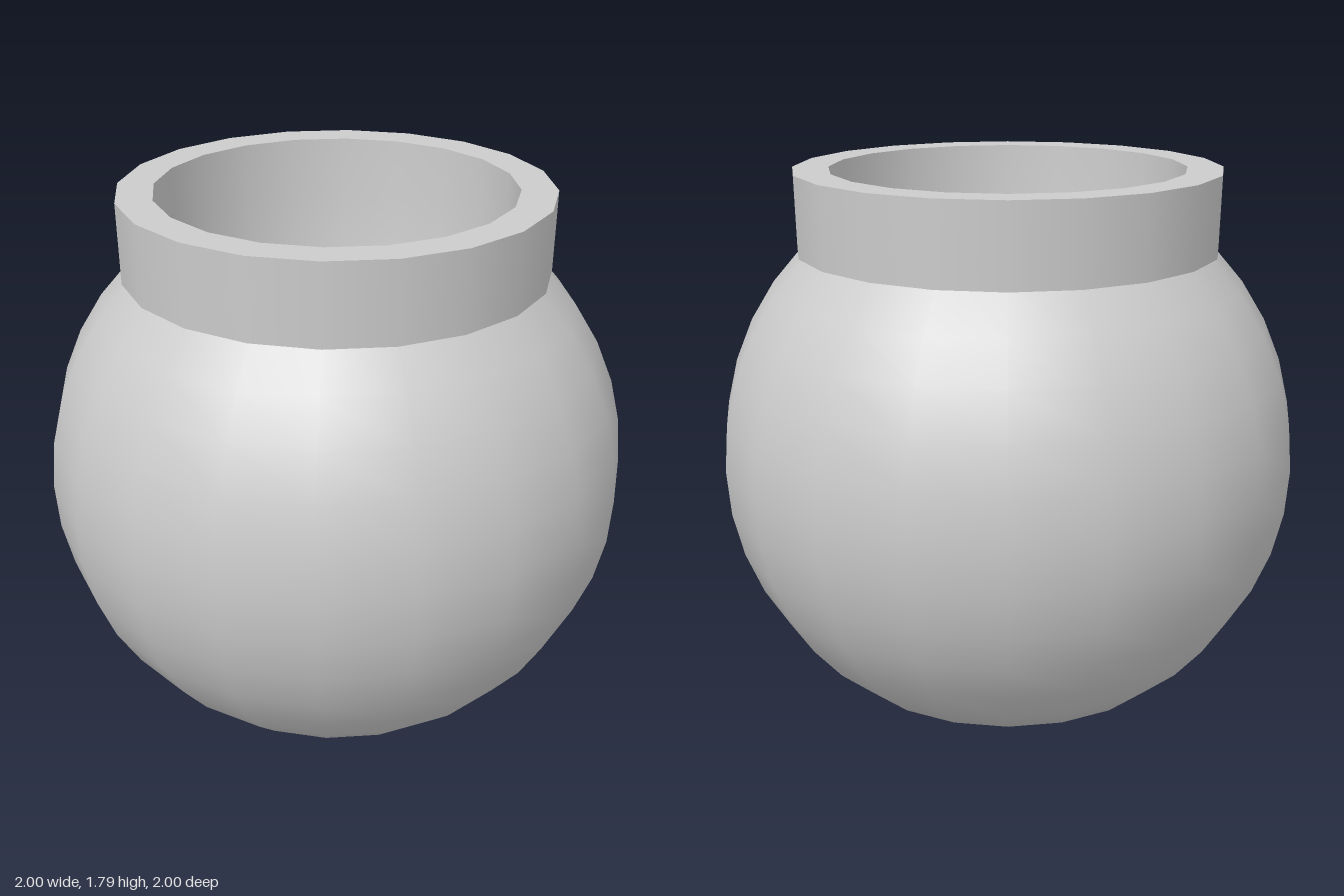
import * as THREE from 'three';

const SIDES = 20;
const material = new THREE.MeshStandardMaterial({ color: 0xcccccc });

// Profiles running upwards face outwards; running downwards they face inwards.
function turned(name, points) {
  const profile = points.map(([r, y]) => new THREE.Vector2(r, y));
  const mesh = new THREE.Mesh(new THREE.LatheGeometry(profile, SIDES), material);
  mesh.name = name;
  return mesh;
}

export function createModel() {
  const group = new THREE.Group();
  group.name = 'roundPot';

  const height = 1.79;
  const centerY = 0.809;

  // Round belly: flat base, then a unit sphere in 9 degree steps up to the neck
  const belly = [[0, 0], [0.42, 0]];
  for (let deg = -54; deg <= 45; deg += 9) {
    const a = THREE.MathUtils.degToRad(deg);
    belly.push([Math.cos(a), centerY + Math.sin(a)]);
  }
  group.add(turned('belly', belly));

  // Neck band: underside, slightly flared wall and flat lip, each with sharp edges
  const neck = new THREE.Group();
  neck.name = 'neck';
  neck.add(
    turned('neckUnderside', [[0.69, 1.517], [0.722, 1.517]]),
    turned('neckWall', [[0.722, 1.517], [0.728, height]]),
    turned('lip', [[0.728, height], [0.606, height]])
  );

  // Deep hollow narrowing to a rounded bottom
  const hollow = [];
  const depth = 1.6;
  for (let i = 0; i <= 12; i++) {
    const a = (i / 12) * Math.PI / 2;
    hollow.push([i === 12 ? 0 : 0.606 * Math.cos(a), height - depth * Math.sin(a)]);
  }
  neck.add(turned('hollow', hollow));

  // The opening is very slightly oval
  neck.scale.z = 1.017;
  group.add(neck);

  return group;
}
